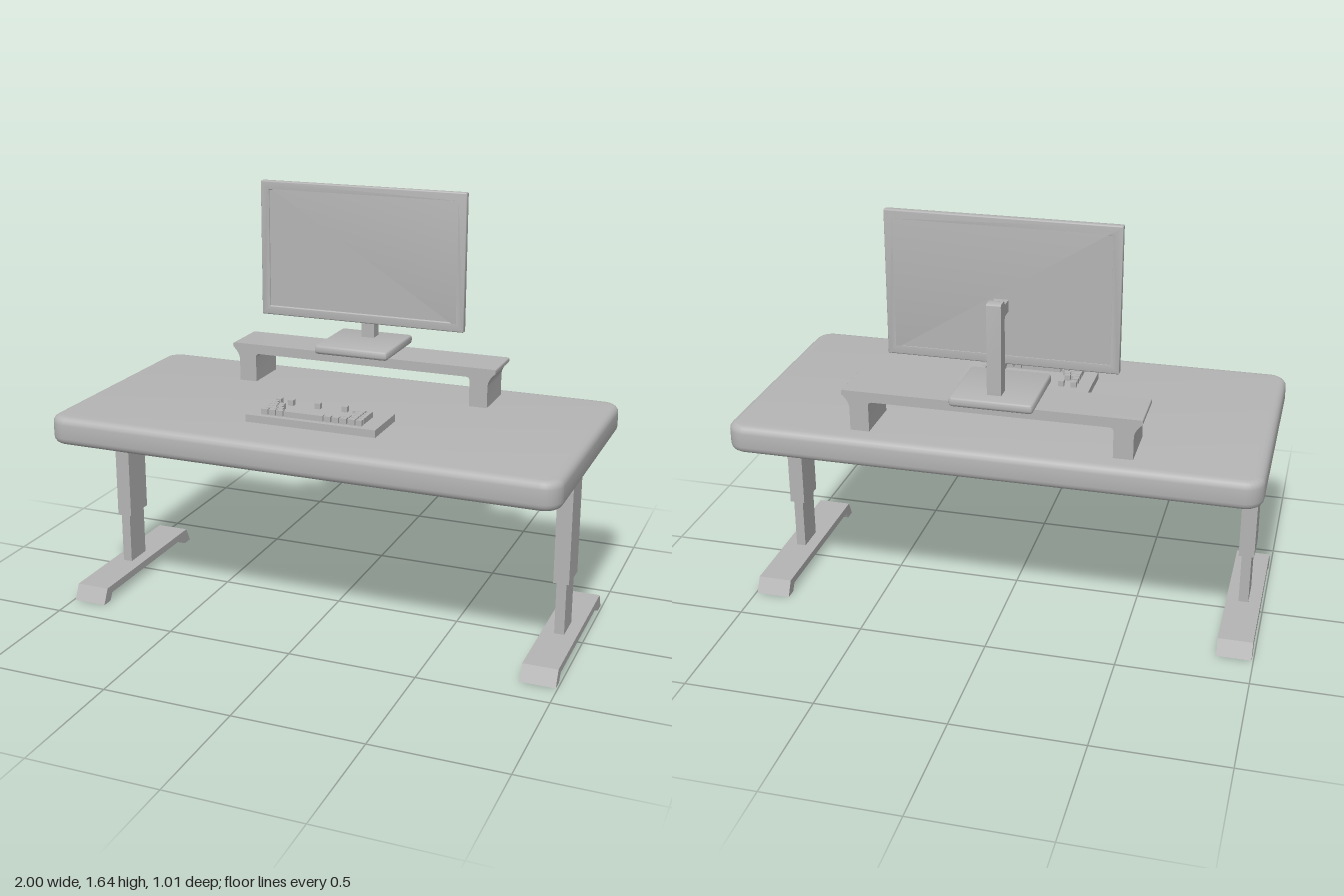
import * as THREE from 'three';
import { toCreasedNormals } from 'three/addons/utils/BufferGeometryUtils.js';

const grey = new THREE.MeshStandardMaterial({ color: 0xb4b4b4 });
grey.name = 'plain grey';

function add(parent, name, geometry) {
  const mesh = new THREE.Mesh(geometry, grey);
  mesh.name = name;
  parent.add(mesh);
  return mesh;
}

// Box given by its minimum and maximum on each axis
function box(parent, name, x0, x1, y0, y1, z0, z1) {
  const g = new THREE.BoxGeometry(x1 - x0, y1 - y0, z1 - z0);
  g.translate((x0 + x1) / 2, (y0 + y1) / 2, (z0 + z1) / 2);
  return add(parent, name, g);
}

function roundedRect(w, d, r) {
  const s = new THREE.Shape(), x = w / 2, y = d / 2;
  s.moveTo(-x + r, -y);
  s.lineTo(x - r, -y).absarc(x - r, -y + r, r, -Math.PI / 2, 0, false);
  s.lineTo(x, y - r).absarc(x - r, y - r, r, 0, Math.PI / 2, false);
  s.lineTo(-x + r, y).absarc(-x + r, y - r, r, Math.PI / 2, Math.PI, false);
  s.lineTo(-x, -y + r).absarc(-x + r, -y + r, r, Math.PI, Math.PI * 1.5, false);
  return s;
}

function extrude(shape, depth, bevel = 0) {
  const g = new THREE.ExtrudeGeometry(shape, {
    depth: depth - 2 * bevel, bevelEnabled: bevel > 0, bevelSize: bevel,
    bevelThickness: bevel, bevelOffset: -bevel, bevelSegments: 4, curveSegments: 8,
  });
  g.translate(0, 0, bevel);
  return toCreasedNormals(g, 0.6);
}

// Horizontal slab with rounded corners and rounded rims
function slab(parent, name, w, h, d, r, bevel, x, y, z) {
  const mesh = add(parent, name, extrude(roundedRect(w, d, r), h, bevel).rotateX(-Math.PI / 2));
  mesh.position.set(x, y, z);
}

// Side profile in (z, y), extruded across x from x0 to x1
function sideProfile(parent, name, shape, x0, x1) {
  const g = extrude(shape, x1 - x0).rotateY(-Math.PI / 2);
  g.translate(x1, 0, 0);
  return add(parent, name, g);
}

function polygon(points) {
  return new THREE.Shape(points.map(([x, y]) => new THREE.Vector2(x, y)));
}

function addLegs(root) {
  const foot = polygon([[0.39, 0], [0.36, 0.06], [-0.32, 0.06], [-0.35, 0],
    [-0.302, 0], [-0.285, 0.03], [0.325, 0.03], [0.342, 0]]);
  for (const side of [-1, 1]) {
    const leg = new THREE.Group();
    leg.name = side > 0 ? 'leftLeg' : 'rightLeg';
    leg.position.x = side * 0.926;
    box(leg, 'outerColumn', -0.03, 0.03, 0.268, 0.71, -0.047, 0.088);
    box(leg, 'innerColumn', -0.019, 0.019, 0.058, 0.27, -0.037, 0.08);
    sideProfile(leg, 'foot', foot, -0.067, 0.067);
    root.add(leg);
  }
}

// Bridge-shaped riser with flared ends
function addRiser(root) {
  const s = new THREE.Shape();
  s.moveTo(-0.53, 0.815);
  s.lineTo(-0.53, 0.90).quadraticCurveTo(-0.53, 0.93, -0.56, 0.955);
  s.lineTo(-0.56, 0.966).quadraticCurveTo(-0.56, 0.972, -0.55, 0.972);
  s.lineTo(0.55, 0.972).quadraticCurveTo(0.56, 0.972, 0.56, 0.966);
  s.lineTo(0.56, 0.955).quadraticCurveTo(0.53, 0.93, 0.53, 0.90);
  s.lineTo(0.53, 0.815).lineTo(0.457, 0.815);
  s.lineTo(0.457, 0.917).quadraticCurveTo(0.457, 0.933, 0.44, 0.933);
  s.lineTo(-0.44, 0.933).quadraticCurveTo(-0.457, 0.933, -0.457, 0.917);
  s.lineTo(-0.457, 0.815);
  add(root, 'monitorRiser', extrude(s, 0.197)).position.z = -0.422;
}

function addMonitor(root) {
  const monitor = new THREE.Group();
  monitor.name = 'monitor';
  root.add(monitor);
  slab(monitor, 'base', 0.31, 0.036, 0.31, 0.014, 0.012, -0.021, 0.975, -0.324);

  // Post with its forward arm
  const s = new THREE.Shape();
  s.moveTo(-0.422, 1.0);
  s.lineTo(-0.422, 1.347).quadraticCurveTo(-0.422, 1.355, -0.414, 1.355);
  s.lineTo(-0.386, 1.355).quadraticCurveTo(-0.372, 1.355, -0.37, 1.345);
  s.quadraticCurveTo(-0.366, 1.337, -0.355, 1.337);
  s.lineTo(-0.308, 1.337).lineTo(-0.308, 1.294).lineTo(-0.355, 1.294);
  s.quadraticCurveTo(-0.368, 1.294, -0.368, 1.28);
  s.lineTo(-0.368, 1.0);
  sideProfile(monitor, 'post', s, -0.048, 0.005);

  // Bezel with its opening, and the recessed screen
  const bezel = roundedRect(0.861, 0.547, 0.005);
  bezel.holes.push(new THREE.Path([[-0.394, -0.236], [-0.394, 0.236], [0.394, 0.236], [0.394, -0.236]]
    .map(([x, y]) => new THREE.Vector2(x, y))));
  add(monitor, 'bezel', extrude(bezel, 0.028, 0.005)).position.set(-0.0215, 1.3635, -0.312);
  box(monitor, 'screen', -0.42, 0.377, 1.123, 1.604, -0.3115, -0.29);
}

function addKeyboard(root) {
  const board = new THREE.Group();
  board.name = 'keyboard';
  root.add(board);
  box(board, 'keyboardBody', -0.268, 0.255, 0.814, 0.844, 0.062, 0.278);

  // Each key is [start, width] in hundredths along x; rows run back to front
  const rows = [
    [[-21.4, 2.2], [-16.4, 2.2], [-5.2, 2.2], [5.8, 2.2]],
    [[-21.4, 2.2], [11.7, 4.8], [17, 2.2]],
    [[-21.4, 3.4], [-17.6, 2.2], [13.4, 3.1], [17, 2.2]],
    [[-21.4, 3.9], [-17.1, 2.2], [12.3, 4.2], [17, 2.2]],
    [[-21.4, 5.1], [-15.9, 2.2], [10.1, 3.3], [13.8, 2.7], [17, 2.2]],
    [[-21.4, 2.7], [-18.3, 2.7], [-15.2, 2.7], [-12.1, 15.8], [4.1, 2.7], [7.3, 2.7],
      [10.4, 2.7], [13.8, 2.7], [17, 2.2]],
  ];
  rows.forEach((row, i) => {
    const z = i === 0 ? 0.095 : 0.105 + i * 0.0255;
    for (const [x, w] of row) {
      box(board, 'key', x / 100, (x + w) / 100, 0.843, 0.866, z, z + 0.022);
    }
  });
}

export function createModel() {
  const root = new THREE.Group();
  root.name = 'standingDesk';
  slab(root, 'desktop', 2, 0.11, 1.014, 0.07, 0.028, 0, 0.705, 0);
  addLegs(root);
  addRiser(root);
  addMonitor(root);
  addKeyboard(root);
  return root;
}
